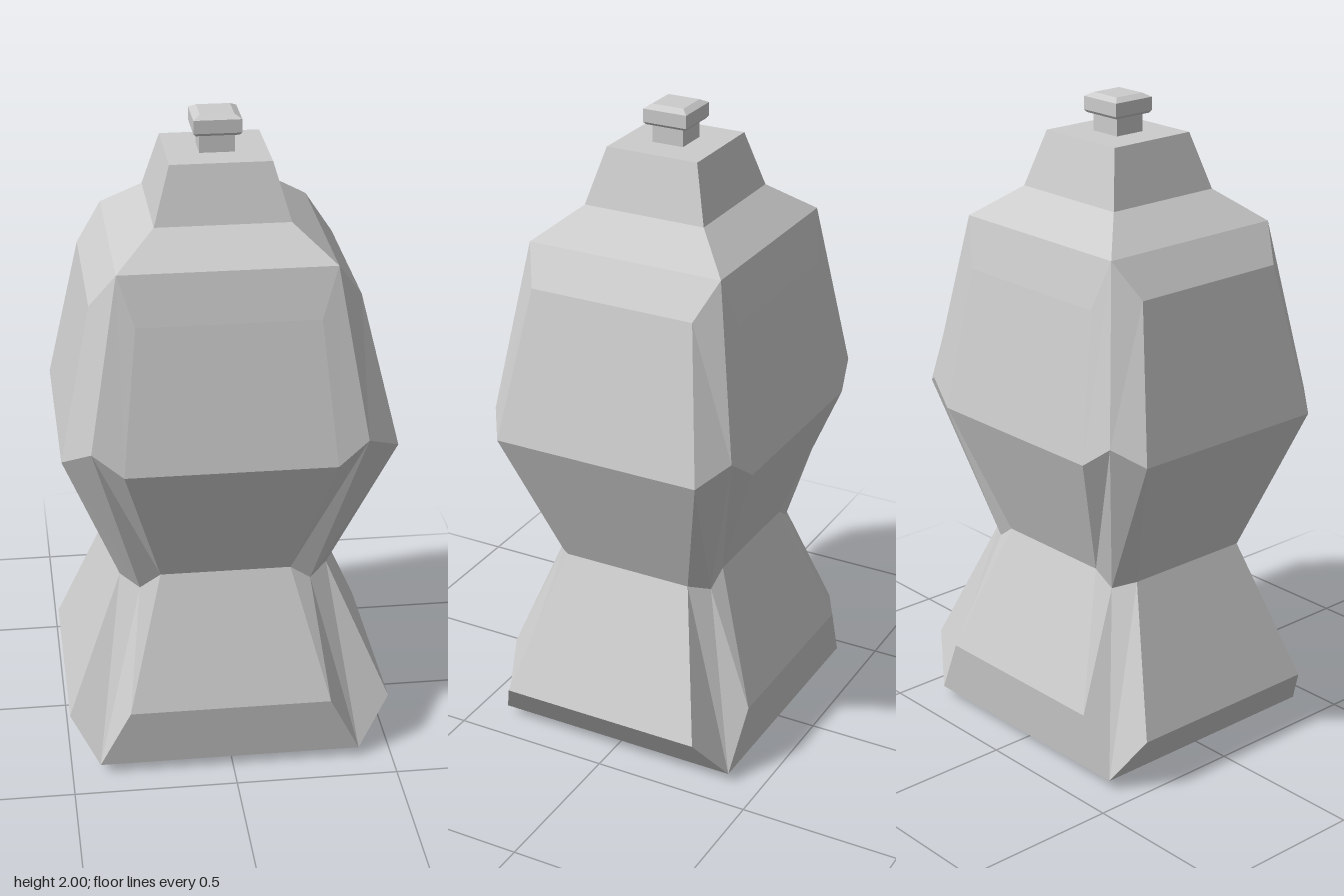
import * as THREE from 'three';

// Square ring: all three corner points coincide
const square = (x, y, z) => [[x, y, z], [x, y, z], [x, y, z]];

// The upper parts sit slightly off centre; only the widest side edges do not
const shift = (x) => (Math.abs(x) < 0.45 ? x - 0.008 : x);

// Expand one corner (side, ridge, front points) to a full 12-point ring
function expandRing([a, b, c]) {
  const quad = (pts, sx, sz) => pts.map(([x, y, z]) => new THREE.Vector3(shift(x * sx), y, z * sz));
  return [
    ...quad([a, b, c], 1, 1),
    ...quad([c, b, a], -1, 1),
    ...quad([a, b, c], -1, -1),
    ...quad([c, b, a], 1, -1),
  ];
}

// Loft through the rings, closing both ends
function loft(rings) {
  const pos = [];
  const tri = (p, q, r) => {
    const area = q.clone().sub(p).cross(r.clone().sub(p)).length();
    if (area > 1e-7) for (const v of [p, q, r]) pos.push(v.x, v.y, v.z);
  };
  const loops = rings.map(expandRing);
  for (let i = 0; i < loops.length - 1; i++) {
    for (let k = 0; k < 12; k++) {
      const n = (k + 1) % 12;
      const a = loops[i][k], b = loops[i][n], c = loops[i + 1][n], d = loops[i + 1][k];
      // Diagonals are mirrored so all four corners match
      if (k % 6 === 3 || k % 6 === 4) {
        tri(a, c, b);
        tri(a, d, c);
      } else {
        tri(a, d, b);
        tri(b, d, c);
      }
    }
  }
  const bottom = loops[0], top = loops[loops.length - 1];
  for (let k = 1; k < 11; k++) {
    tri(bottom[0], bottom[k], bottom[k + 1]);
    tri(top[0], top[k + 1], top[k]);
  }
  const geo = new THREE.BufferGeometry();
  geo.setAttribute('position', new THREE.Float32BufferAttribute(pos, 3));
  geo.computeVertexNormals();
  return geo;
}

export function createModel() {
  const group = new THREE.Group();
  group.name = 'pawn';
  const stone = new THREE.MeshStandardMaterial({ color: 0xcccccc, flatShading: true });
  stone.name = 'pale grey';

  const waist = [[0.32, 0.6, 0.21], [0.263, 0.575, 0.26], [0.2, 0.62, 0.268]];
  const foot = [0.405, 0.03, 0.397];
  const shoulder = [0.32, 1.62, 0.312];

  const parts = {
    // Flared foot with chamfered corners
    base: [
      square(0.31, 0, 0.3),
      square(...foot),
      [[0.5, 0.17, 0.325], foot, [0.31, 0.22, 0.416]],
      waist,
    ],
    // Faceted belly up to the shoulder
    body: [
      waist,
      [[0.5, 1.05, 0.33], [0.408, 1.1, 0.396], [0.315, 1.03, 0.418]],
      [[0.397, 1.51, 0.262], shoulder, [0.27, 1.47, 0.345]],
      square(...shoulder),
    ],
    // Stepped square collar
    collar: [square(0.32, 1.62, 0.312), square(0.2, 1.715, 0.195), square(0.15, 1.885, 0.147)],
    neck: [square(0.052, 1.88, 0.05), square(0.052, 1.95, 0.05)],
    // Bevelled knob
    knob: [
      square(0.064, 1.94, 0.064),
      square(0.071, 1.948, 0.07),
      square(0.071, 1.988, 0.07),
      square(0.05, 2, 0.05),
    ],
  };
  for (const [name, rings] of Object.entries(parts)) {
    const mesh = new THREE.Mesh(loft(rings), stone);
    mesh.name = name;
    group.add(mesh);
  }
  return group;
}
